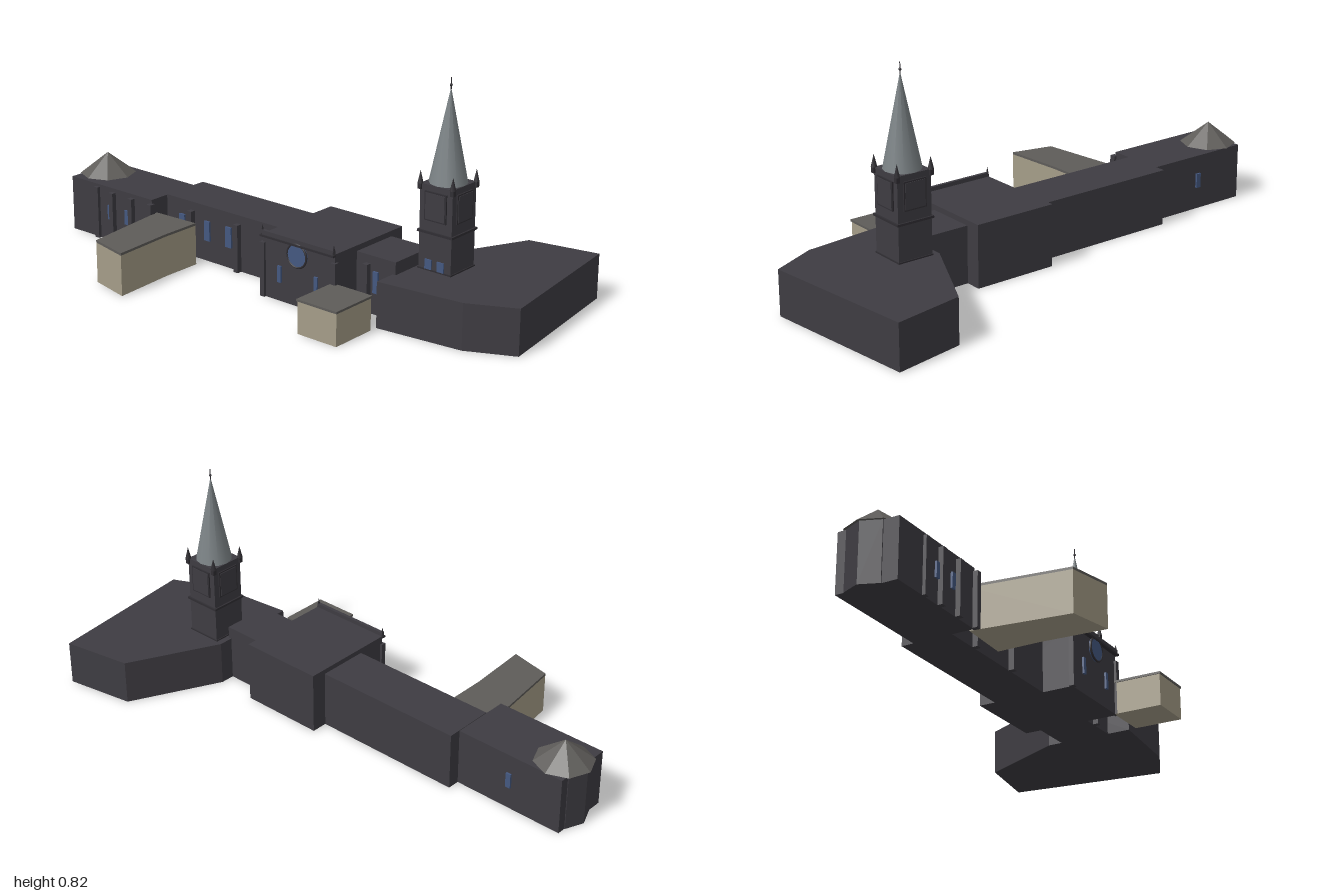
import * as THREE from 'three';

const mat = (name, color, extra = {}) => {
  const m = new THREE.MeshStandardMaterial({ color, ...extra });
  m.name = name;
  return m;
};

export function createModel() {
  const stone = mat('darkStone', 0x3e3c42);
  const trim = mat('darkTrim', 0x302e33);
  const cream = mat('creamWall', 0xa59d88);
  const slate = mat('greyRoof', 0x5e5c59, { flatShading: true });
  const lead = mat('spireLead', 0x7b8285);
  const glass = mat('blueGlass', 0x445880);

  const model = new THREE.Group();
  model.name = 'church';

  const add = (name, geo, material, x = 0, y = 0, z = 0, parent = model) => {
    const mesh = new THREE.Mesh(geo, material);
    mesh.name = name;
    mesh.position.set(x, y, z);
    parent.add(mesh);
    return mesh;
  };
  // box given by its extents
  const block = (name, material, x0, x1, y0, y1, z0, z1, parent) =>
    add(name, new THREE.BoxGeometry(x1 - x0, y1 - y0, z1 - z0), material,
      (x0 + x1) / 2, (y0 + y1) / 2, (z0 + z1) / 2, parent);
  // upright prism over a plan of [x, z] corners
  const prism = (name, material, plan, y0, y1) => {
    const shape = new THREE.Shape(plan.map(([x, z]) => new THREE.Vector2(x, -z)));
    const geo = new THREE.ExtrudeGeometry(shape, { depth: y1 - y0, bevelEnabled: false });
    geo.rotateX(-Math.PI / 2);
    return add(name, geo, material, 0, y0, 0);
  };

  // Long body of the church
  block('westWing', stone, -0.96, -0.535, 0, 0.21, -0.06, 0.165);
  block('nave', stone, -0.535, 0.04, 0, 0.212, -0.105, 0.085);
  block('eastWing', stone, 0.36, 0.525, 0, 0.21, -0.105, 0.085);

  // Apse with its faceted roof
  const apse = new THREE.CylinderGeometry(0.095, 0.095, 0.21, 8).toNonIndexed();
  apse.computeVertexNormals();
  add('apse', apse, stone, -0.895, 0.105, 0.04);
  add('apseRoof', new THREE.ConeGeometry(0.105, 0.08, 8), slate, -0.895, 0.25, 0.04);

  // Transept hall with parapet, corner piers and finials
  block('hall', stone, 0.04, 0.36, 0, 0.23, -0.165, 0.2);
  block('hallParapet', stone, 0.04, 0.36, 0.222, 0.245, 0.198, 0.21);
  block('hallCornice', trim, 0.037, 0.363, 0.222, 0.229, 0.198, 0.214);
  for (const x of [0.042, 0.358]) {
    block('hallPier', stone, x - 0.01, x + 0.01, 0, 0.2, 0.19, 0.209);
    add('hallFinial', new THREE.ConeGeometry(0.009, 0.04, 4), trim, x, 0.246, 0.204);
  }
  const ring = new THREE.TorusGeometry(0.042, 0.004, 6, 24);
  add('roseFrame', ring, trim, 0.2, 0.188, 0.209);
  const rose = new THREE.CylinderGeometry(0.042, 0.042, 0.009, 24).rotateX(Math.PI / 2);
  add('roseWindow', rose, glass, 0.2, 0.188, 0.206);

  // Buttresses: x, top, wall z, depth
  const buttresses = [
    [-0.82, 0.2, 0.165, 0.012], [-0.735, 0.195, 0.165, 0.018],
    [-0.635, 0.195, 0.165, 0.018], [-0.535, 0.195, 0.165, 0.018],
    [-0.405, 0.18, 0.085, 0.02], [-0.178, 0.18, 0.085, 0.02],
    [0.41, 0.18, 0.085, 0.02],
  ];
  for (const [x, top, z, d] of buttresses) {
    block('buttress', stone, x - 0.01, x + 0.01, 0, top, z - 0.005, z + d);
  }

  // Windows: x, width, bottom, top, wall z, facing
  const windows = [
    [-0.755, 0.018, 0.085, 0.14, 0.165, 1], [-0.665, 0.018, 0.085, 0.14, 0.165, 1],
    [-0.455, 0.026, 0.08, 0.155, 0.085, 1], [-0.33, 0.026, 0.08, 0.155, 0.085, 1],
    [-0.225, 0.028, 0.08, 0.157, 0.085, 1], [0.445, 0.022, 0.08, 0.157, 0.085, 1],
    [0.118, 0.015, 0.07, 0.13, 0.2, 1], [0.28, 0.015, 0.07, 0.13, 0.2, 1],
    [-0.75, 0.02, 0.085, 0.14, -0.06, -1],
  ];
  for (const [x, w, y0, y1, z, s] of windows) {
    add('window', new THREE.BoxGeometry(w, y1 - y0, 0.009), glass, x, (y0 + y1) / 2, z + s * 0.003);
  }

  // Flat-roofed annex beneath the tower
  prism('annex', stone, [[0.513, 0.17], [0.834, 0.135], [1, 0.055],
    [0.93, -0.53], [0.674, -0.485], [0.513, -0.158]], 0, 0.165);

  // Bell tower, built around its own axis
  const tower = new THREE.Group();
  tower.name = 'tower';
  tower.position.set(0.605, 0, -0.088);
  model.add(tower);
  const h = 0.066;
  block('towerShaft', stone, -h, h, 0, 0.465, -h, h, tower);
  block('towerBand', trim, -0.072, 0.072, 0.296, 0.304, -0.072, 0.072, tower);
  block('towerLowerBand', trim, -0.069, 0.069, 0.165, 0.17, -0.069, 0.069, tower);
  for (let i = 0; i < 4; i++) {
    const side = new THREE.Group();
    side.name = 'towerSide';
    side.rotation.y = i * Math.PI / 2;
    tower.add(side);
    block('belfryFrame', trim, -0.044, 0.044, 0.342, 0.444, h - 0.002, h + 0.005, side);
    block('belfryPanel', stone, -0.039, 0.039, 0.347, 0.439, h, h + 0.007, side);
    block('pinnacleBase', trim, h - 0.007, h + 0.007, 0.445, 0.468, h - 0.007, h + 0.007, side);
    add('pinnacle', new THREE.ConeGeometry(0.011, 0.045, 6), trim, h, 0.487, h, side);
  }
  for (const x of [-0.025, 0.025]) {
    block('towerWindow', glass, x - 0.014, x + 0.014, 0.17, 0.205, h - 0.002, h + 0.004, tower);
  }
  add('spire', new THREE.ConeGeometry(0.066, 0.325, 12), lead, 0, 0.6275, 0, tower);
  add('spireRod', new THREE.CylinderGeometry(0.0015, 0.002, 0.045, 6), trim, 0, 0.7995, 0, tower);
  add('spireKnob', new THREE.SphereGeometry(0.005, 8, 6), trim, 0, 0.797, 0, tower);

  // Cream outbuildings with thin flat roofs
  const longPlan = [[-0.53, 0.145], [-0.485, 0.49], [-0.325, 0.525], [-0.342, 0.29], [-0.342, 0.137]];
  prism('longOutbuilding', cream, longPlan, 0, 0.149);
  prism('longOutbuildingRoof', slate, longPlan, 0.149, 0.158);
  block('smallOutbuilding', cream, 0.348, 0.512, 0, 0.116, 0.198, 0.377);
  block('smallOutbuildingRoof', slate, 0.345, 0.515, 0.116, 0.124, 0.195, 0.38);

  return model;
}
